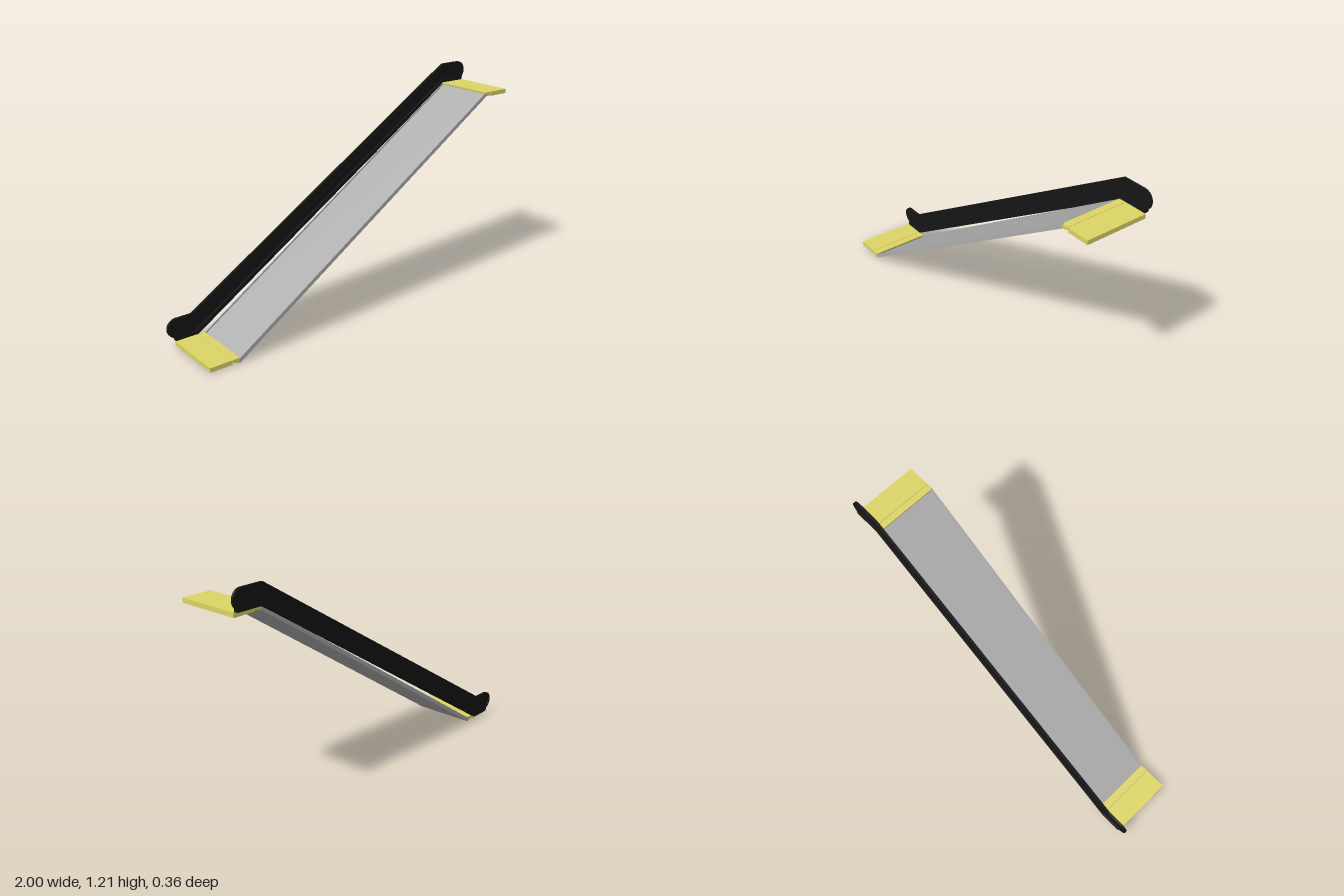
import * as THREE from 'three';

const black = new THREE.MeshStandardMaterial({ color: 0x151515 });
const yellow = new THREE.MeshStandardMaterial({ color: 0xddd566 });
const grey = new THREE.MeshStandardMaterial({ color: 0xaeaeae });
const Z0 = -0.158, Z1 = 0.181;

// Extrude an x/y outline between two z positions
function slab(name, shape, z0, z1, material) {
  const geo = new THREE.ExtrudeGeometry(shape, { depth: z1 - z0, bevelEnabled: false, curveSegments: 14 });
  geo.translate(0, 0, z0);
  const mesh = new THREE.Mesh(geo, material);
  mesh.name = name;
  return mesh;
}

const polygon = (pts) => new THREE.Shape(pts.map(([x, y]) => new THREE.Vector2(x, y)));

// Handrail outline: two round ends joined by a sloping band; inset shrinks it
function railOutline(inset, Kind) {
  const r = 0.052 - inset, yb = 0.093, yt = 1.154;
  const s = new Kind();
  s.moveTo(-0.948, yb - r);
  s.lineTo(-0.848 + inset * 0.3, yb - r);
  s.lineTo(0.845 + inset * 0.3, yt - r);
  s.lineTo(0.948, yt - r);
  s.absarc(0.948, yt, r, -Math.PI / 2, Math.PI / 2, false);
  s.lineTo(0.828 + inset * 0.3, yt + r);
  s.lineTo(-0.864 + inset * 0.3, yb + r);
  s.lineTo(-0.948, yb + r);
  s.absarc(-0.948, yb, r, Math.PI / 2, Math.PI * 1.5, false);
  return s;
}

// Landing plate: a shallow tray, open underneath, with a rounded lip towards the ramp
function landing(name, x0, x1, y0, lipX0, lipX1) {
  const group = new THREE.Group();
  group.name = name;
  const h = 0.024, rim = 0.016, cover = 0.006;
  const frame = polygon([[x0, -Z1], [x1, -Z1], [x1, -Z0], [x0, -Z0]]);
  frame.holes.push(new THREE.Path([
    [x0 + rim, -Z1 + rim], [x0 + rim, -Z0 - rim], [x1 - rim, -Z0 - rim], [x1 - rim, -Z1 + rim],
  ].map(([x, y]) => new THREE.Vector2(x, y))));
  const frameGeo = new THREE.ExtrudeGeometry(frame, { depth: h - cover, bevelEnabled: false });
  frameGeo.rotateX(-Math.PI / 2);
  frameGeo.translate(0, y0, 0);
  const rimMesh = new THREE.Mesh(frameGeo, yellow);
  rimMesh.name = 'landingRim';
  const top = new THREE.Mesh(new THREE.BoxGeometry(x1 - x0, cover, Z1 - Z0), yellow);
  top.name = 'landingCover';
  top.position.set((x0 + x1) / 2, y0 + h - cover / 2, (Z0 + Z1) / 2);
  const lip = new THREE.Shape();
  lip.moveTo(lipX0, y0 + h);
  lip.quadraticCurveTo(lipX0, y0 + 0.004, (lipX0 + lipX1) / 2, y0 + 0.002);
  lip.quadraticCurveTo(lipX1, y0 + 0.004, lipX1, y0 + h);
  group.add(rimMesh, top, slab('landingLip', lip, Z0, Z1, yellow));
  return group;
}

export function createModel() {
  const model = new THREE.Group();

  // Landings at the foot and the head
  model.add(landing('lowerLanding', -0.965, -0.843, 0.004, -0.841, -0.8));
  model.add(landing('upperLanding', 0.863, 0.985, 1.075, 0.825, 0.861));

  // Sloping bed with thin raised edges
  const bed = (t) => polygon([[-0.8, 0], [0.832, 1.078], [0.832, 1.078 + t], [-0.812, t - 0.007]]);
  model.add(slab('rampBed', bed(0.014), Z0, Z1, grey));
  for (const z of [Z0, Z1 - 0.006]) model.add(slab('rampEdge', bed(0.024), z, z + 0.006, grey));

  // Skirt running below the handrail
  model.add(slab('skirt', polygon([
    [-0.96, 0.026], [-0.838, 0.026], [0.838, 1.1], [0.98, 1.1],
    [0.98, 1.12], [0.832, 1.12], [-0.848, 0.046], [-0.96, 0.046],
  ]), -0.18, -0.157, black));

  // Balustrade panel and the rail looping round it
  const panelZ = -0.171;
  model.add(slab('balustradePanel', railOutline(0.008, THREE.Shape), panelZ - 0.004, panelZ + 0.004, black));
  const rail = railOutline(0, THREE.Shape);
  rail.holes.push(railOutline(0.012, THREE.Path));
  model.add(slab('handrail', rail, panelZ - 0.007, panelZ + 0.007, black));

  return model;
}
